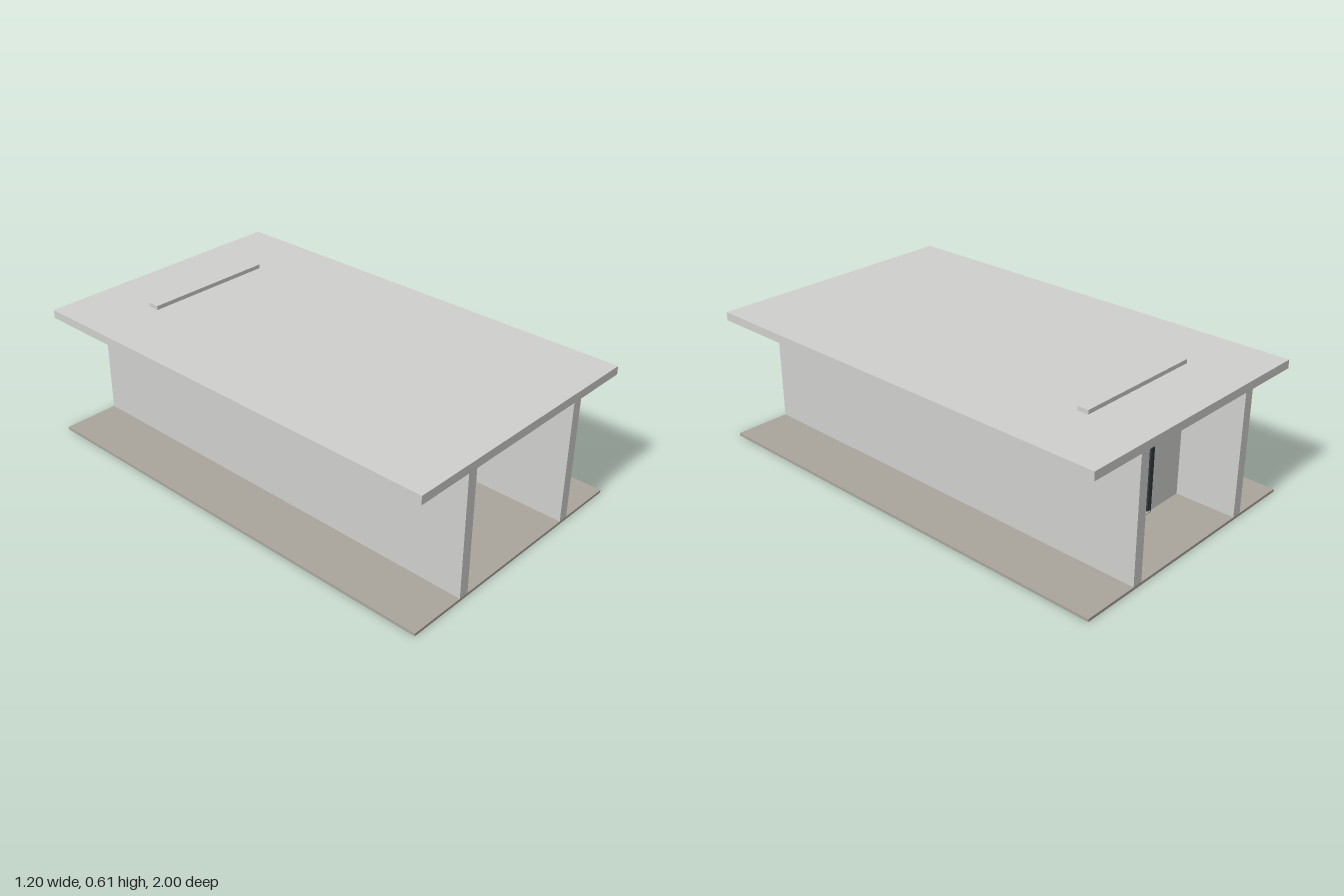
import * as THREE from 'three';

const mat = (name, color) => Object.assign(new THREE.MeshStandardMaterial({ color }), { name });

export function createModel() {
  const plaster = mat('plaster grey', 0xcfcfcd);
  const floorMat = mat('floor taupe', 0xaaa59b);
  const dark = mat('frame charcoal', 0x30383c);
  const black = mat('fitting black', 0x1c1e20);
  const pale = mat('furniture pale grey', 0xd0d0ce);
  const shadeMat = mat('lampshade grey', 0xb4b4b0);
  const skin = mat('figure pale', 0xd6d4d0);
  const hairMat = mat('hair beige', 0xa59c8c);

  const model = new THREE.Group();
  model.name = 'entranceHall';

  const group = (name, parent = model) => {
    const g = new THREE.Group();
    g.name = name;
    parent.add(g);
    return g;
  };
  const add = (name, geo, material, parent = model) => {
    const m = new THREE.Mesh(geo, material);
    m.name = name;
    parent.add(m);
    return m;
  };
  // Box given by its limits on each axis
  const box = (name, x0, x1, y0, y1, z0, z1, material, parent) => {
    const m = add(name, new THREE.BoxGeometry(x1 - x0, y1 - y0, z1 - z0), material, parent);
    m.position.set((x0 + x1) / 2, (y0 + y1) / 2, (z0 + z1) / 2);
    return m;
  };
  // Square bar between two points
  const bar = (name, a, b, t, material, parent) => {
    const p = new THREE.Vector3(...a), q = new THREE.Vector3(...b);
    const m = add(name, new THREE.BoxGeometry(t, t, p.distanceTo(q)), material, parent);
    m.position.copy(p).add(q).multiplyScalar(0.5);
    m.lookAt(q);
    return m;
  };
  // Rectangle outline, extruded along z
  const rect = (P, x0, x1, y0, y1) => {
    const p = new P();
    p.moveTo(x0, y0); p.lineTo(x1, y0); p.lineTo(x1, y1); p.lineTo(x0, y1); p.closePath();
    return p;
  };
  const frame = (name, outer, inner, z0, z1, material, parent) => {
    const s = rect(THREE.Shape, ...outer);
    s.holes.push(rect(THREE.Path, ...inner));
    const m = add(name, new THREE.ExtrudeGeometry(s, { depth: z1 - z0, bevelEnabled: false }), material, parent);
    m.position.z = z0;
    return m;
  };
  // Smooth body through rising elliptical rings [x, y, z, rx, rz]
  const loft = (name, rings, material, parent, n = 14) => {
    const pos = [], idx = [];
    rings.forEach(([x, y, z, rx, rz], i) => {
      for (let j = 0; j < n; j++) {
        const a = (j / n) * Math.PI * 2;
        pos.push(x + rx * Math.cos(a), y, z + rz * Math.sin(a));
        if (i === rings.length - 1) continue;
        const p = i * n + j, q = i * n + (j + 1) % n;
        idx.push(p, p + n, q, q, p + n, q + n);
      }
    });
    const g = new THREE.BufferGeometry();
    g.setAttribute('position', new THREE.Float32BufferAttribute(pos, 3));
    g.setIndex(idx);
    g.computeVertexNormals();
    return add(name, g, material, parent);
  };

  // Building shell
  const F = 0.012;
  box('floor', -0.6, 0.6, 0, F, -1, 1, floorMat);
  box('roof', -0.6, 0.6, 0.555, 0.592, -1, 1, plaster);
  for (const s of [-1, 1]) {
    box(s > 0 ? 'leftWall' : 'rightWall', s * 0.3225 - 0.0225, s * 0.3225 + 0.0225, F, 0.555, -1, 1, plaster);
  }
  frame('doorWall', [-0.3, 0.3, F, 0.61], [-0.1, 0.1, F + 0.002, 0.445], -0.73, -0.68, plaster);

  // Door with a dark frame and panels on both faces
  const door = group('door');
  frame('doorFrame', [-0.115, 0.115, F, 0.46], [-0.093, 0.093, F + 0.004, 0.438], -0.737, -0.673, dark, door);
  frame('doorLining', [-0.093, 0.093, F + 0.004, 0.438], [-0.088, 0.088, F + 0.008, 0.432], -0.727, -0.683, pale, door);
  box('doorLeaf', -0.088, 0.088, 0.02, 0.432, -0.715, -0.695, pale, door);
  box('sill', -0.11, 0.11, F, 0.02, -0.74, -0.667, pale, door);
  box('doormat', -0.08, 0.09, F, 0.017, -0.66, -0.59, dark, door);
  for (const z of [-0.716, -0.696]) {
    for (const [x0, x1] of [[-0.075, -0.01], [0.006, 0.071]]) {
      for (const [y0, y1] of [[0.045, 0.235], [0.262, 0.402]]) {
        frame('panelMoulding', [x0, x1, y0, y1], [x0 + 0.003, x1 - 0.003, y0 + 0.003, y1 - 0.003], z, z + 0.002, dark, door);
      }
    }
  }
  for (const s of [-1, 1]) {
    const knob = add('doorKnob', new THREE.SphereGeometry(0.006, 12, 8), black, door);
    knob.position.set(-0.076, 0.217, -0.705 + s * 0.016);
  }
  box('letterPlate', -0.024, 0.006, 0.213, 0.218, -0.695, -0.69, black, door);
  box('crossBar', -0.1, 0.096, 0.317, 0.331, -0.695, -0.665, pale, door);
  box('lintelPlate', -0.013, 0.013, 0.452, 0.457, -0.673, -0.671, pale, door);
  const knocker = add('knocker', new THREE.TorusGeometry(0.009, 0.003, 8, 16), hairMat, door);
  knocker.position.set(-0.002, 0.298, -0.691);

  // Wall lantern
  const lantern = group('wallLantern');
  lantern.position.set(0.137, 0, -0.662);
  const glass = [[0, 0.38], [0.012, 0.38], [0.01, 0.405], [0.006, 0.417], [0, 0.418]];
  add('lanternGlass', new THREE.LatheGeometry(glass.map(p => new THREE.Vector2(...p)), 12), pale, lantern);
  box('lanternCap', -0.008, 0.008, 0.417, 0.428, -0.007, 0.007, black, lantern);
  box('lanternBracket', -0.004, 0.004, 0.42, 0.426, -0.018, 0, black, lantern);

  // Bedside cabinet
  const cabinet = group('cabinet');
  box('cabinetBody', -0.277, -0.207, F, 0.153, -0.675, -0.605, pale, cabinet);
  box('cabinetTop', -0.284, -0.2, 0.153, 0.16, -0.68, -0.598, pale, cabinet);
  frame('cabinetDoor', [-0.268, -0.216, 0.045, 0.143], [-0.264, -0.22, 0.049, 0.139], -0.605, -0.602, pale, cabinet);
  frame('cabinetPlinth', [-0.268, -0.216, F, 0.041], [-0.264, -0.22, F + 0.002, 0.037], -0.605, -0.602, pale, cabinet);

  // Table lamp
  const lamp = group('tableLamp');
  lamp.position.set(-0.242, 0, -0.64);
  const foot = [[0, 0.16], [0.021, 0.16], [0.021, 0.165], [0.006, 0.17], [0.003, 0.178], [0.003, 0.24], [0, 0.24]];
  add('lampStand', new THREE.LatheGeometry(foot.map(p => new THREE.Vector2(...p)), 14), pale, lamp);
  const shadeFaces = Object.assign(shadeMat, { flatShading: true, side: THREE.DoubleSide });
  const shade = add('lampShade', new THREE.CylinderGeometry(0.026, 0.036, 0.065, 6, 1, true), shadeFaces, lamp);
  shade.position.y = 0.247;
  shade.rotation.y = 0.25;

  // Coat stand
  const stand = group('coatStand');
  stand.position.set(0.238, 0, -0.62);
  box('pole', -0.006, 0.006, F, 0.3, -0.006, 0.006, pale, stand);
  box('poleTip', -0.004, 0.004, 0.275, 0.305, -0.008, 0.008, black, stand);
  box('crossRail', -0.048, 0.048, 0.241, 0.249, -0.004, 0.004, pale, stand);
  for (let i = 0; i < 4; i++) {
    const x = [1, 0, -1, 0][i], z = [0, 1, 0, -1][i];
    bar('standFoot', [0, 0.052, 0], [x * 0.047, 0.017, z * 0.047], 0.008, pale, stand);
    bar('hook', [0, 0.266, 0], [x * 0.036, 0.301, z * 0.036], 0.007, pale, stand);
  }

  // Standing figure facing the door
  const figure = group('figure');
  figure.position.z = -0.635;
  loft('torso', [
    [0.041, 0.138, 0, 0.002, 0.002], [0.041, 0.145, 0, 0.024, 0.017], [0.041, 0.165, 0.002, 0.031, 0.022],
    [0.039, 0.185, 0, 0.025, 0.017], [0.037, 0.204, 0, 0.02, 0.014], [0.037, 0.225, -0.002, 0.024, 0.018],
    [0.037, 0.245, 0, 0.029, 0.016], [0.036, 0.258, 0, 0.025, 0.012], [0.035, 0.264, 0, 0.009, 0.008],
    [0.034, 0.28, -0.001, 0.007, 0.007]], skin, figure);
  // Legs, with the outer one stepping aside
  for (const [hip, knee, ankle] of [[0.029, 0.029, 0.028], [0.055, 0.066, 0.078]]) {
    loft('leg', [
      [ankle, F, 0, 0.001, 0.001], [ankle, F + 0.002, 0, 0.008, 0.009], [ankle, 0.028, 0, 0.006, 0.007],
      [(ankle + knee) / 2, 0.06, 0.003, 0.01, 0.011], [knee, 0.085, 0, 0.009, 0.01],
      [(knee + hip) / 2, 0.12, 0, 0.014, 0.015], [hip, 0.155, 0, 0.016, 0.018]], skin, figure);
    const toe = add('foot', new THREE.SphereGeometry(1, 12, 8), skin, figure);
    toe.scale.set(0.009, 0.006, 0.019);
    toe.position.set(ankle, F + 0.006, -0.01);
  }
  // Arms: one hanging, one raised towards the door
  loft('hangingArm', [
    [0.064, 0.175, -0.03, 0.001, 0.001], [0.064, 0.18, -0.028, 0.006, 0.006], [0.068, 0.195, -0.015, 0.006, 0.007],
    [0.07, 0.215, -0.003, 0.007, 0.008], [0.065, 0.24, 0, 0.008, 0.009], [0.059, 0.257, 0, 0.007, 0.008],
    [0.055, 0.262, 0, 0.001, 0.001]], skin, figure);
  loft('raisedUpperArm', [
    [0.007, 0.218, -0.013, 0.001, 0.001], [0.008, 0.222, -0.012, 0.007, 0.007], [0.01, 0.24, -0.005, 0.008, 0.008],
    [0.015, 0.256, 0, 0.007, 0.008], [0.019, 0.262, 0, 0.001, 0.001]], skin, figure);
  loft('raisedForearm', [
    [0.007, 0.218, -0.014, 0.001, 0.001], [0.007, 0.223, -0.015, 0.007, 0.007], [0.003, 0.255, -0.028, 0.006, 0.006],
    [0.001, 0.283, -0.038, 0.005, 0.005], [0, 0.295, -0.041, 0.008, 0.006], [0, 0.307, -0.043, 0.001, 0.001]], skin, figure);
  const head = add('head', new THREE.SphereGeometry(1, 16, 12), skin, figure);
  head.scale.set(0.016, 0.021, 0.018);
  head.position.set(0.033, 0.289, -0.005);
  const hair = add('hair', new THREE.SphereGeometry(1, 18, 14), hairMat, figure);
  hair.scale.set(0.02, 0.022, 0.02);
  hair.position.set(0.033, 0.291, 0.002);

  return model;
}
